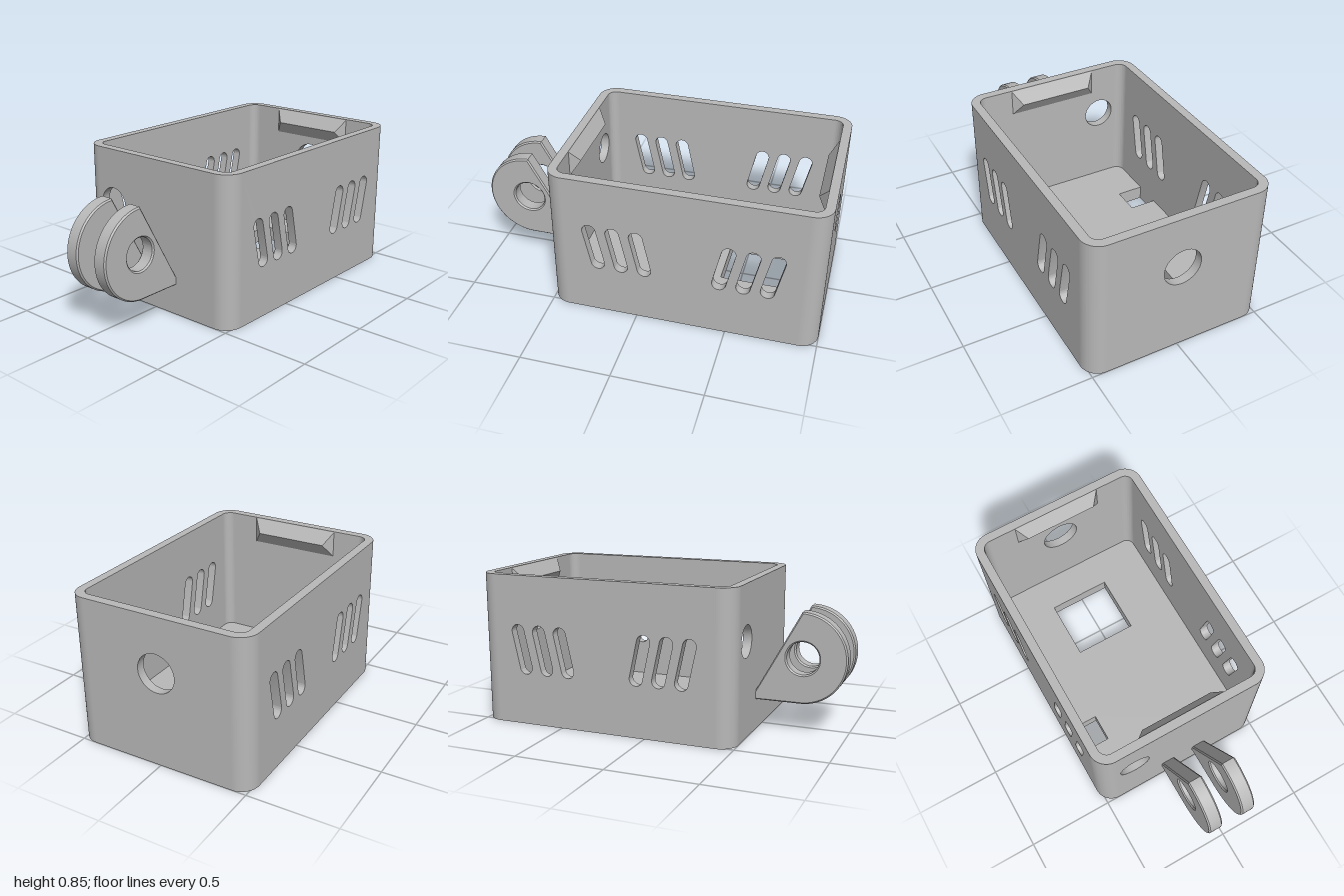
import * as THREE from 'three';
import { toCreasedNormals } from 'three/addons/utils/BufferGeometryUtils.js';
import { ConvexGeometry } from 'three/addons/geometries/ConvexGeometry.js';

const X0 = -0.5, X1 = 1.0, Z = 0.52, H = 0.845; // outer case limits
const WALL = 0.05, R = 0.1, FLOOR = 0.085;

export function createModel() {
  const model = new THREE.Group();
  model.name = 'cameraCase';
  const grey = new THREE.MeshStandardMaterial({ color: 0xb8b8b8 });
  grey.name = 'grey plastic';

  const add = (name, geometry, parent = model) => {
    const mesh = new THREE.Mesh(geometry, grey);
    mesh.name = name;
    parent.add(mesh);
    return mesh;
  };
  const extrude = (shape, depth, options = {}) => toCreasedNormals(
    new THREE.ExtrudeGeometry(shape, { depth, bevelEnabled: false, curveSegments: 16, ...options }), 0.6);
  const rect = (Type, x0, y0, x1, y1) => {
    const p = new Type();
    p.moveTo(x0, y0).lineTo(x1, y0).lineTo(x1, y1).lineTo(x0, y1).closePath();
    return p;
  };
  const circle = (x, y, r) => new THREE.Path().absarc(x, y, r, 0, Math.PI * 2);
  const slot = (xTop, xBottom) => {
    const yTop = 0.532, yBottom = 0.328, r = 0.038;
    const a = Math.atan2(yTop - yBottom, xTop - xBottom);
    const p = new THREE.Path();
    p.absarc(xTop, yTop, r, a - Math.PI / 2, a + Math.PI / 2);
    p.absarc(xBottom, yBottom, r, a + Math.PI / 2, a + Math.PI * 1.5);
    return p.closePath();
  };

  // Front and back walls with two fans of slanted vent slots
  const longWall = rect(THREE.Shape, X0 + R, 0, X1 - R, H);
  for (let i = 0; i < 3; i++) {
    longWall.holes.push(slot(-0.26 + i * 0.13, -0.215 + i * 0.13));
    longWall.holes.push(slot(0.5 + i * 0.13, 0.455 + i * 0.13));
  }
  const longGeometry = extrude(longWall, WALL);
  add('frontWall', longGeometry).position.z = Z - WALL;
  add('backWall', longGeometry).position.z = -Z;

  // End walls, each with a round port
  const endWall = (name, x, portZ, portR) => {
    const shape = rect(THREE.Shape, -Z + R, 0, Z - R, H);
    shape.holes.push(circle(portZ, 0.535, portR));
    add(name, extrude(shape, WALL).rotateY(-Math.PI / 2)).position.x = x;
  };
  endWall('leftWall', X1, 0, 0.108);
  endWall('rightWall', X0 + WALL, -0.31, 0.09);

  // Rounded vertical corners
  const quarter = new THREE.Shape();
  quarter.absarc(0, 0, R, 0, Math.PI / 2);
  quarter.absarc(0, 0, R - WALL, Math.PI / 2, 0, true);
  quarter.closePath();
  const cornerGeometry = extrude(quarter, H).rotateX(-Math.PI / 2);
  const corners = [[X1 - R, -Z + R], [X0 + R, -Z + R], [X0 + R, Z - R], [X1 - R, Z - R]];
  corners.forEach(([x, z], i) => {
    const corner = add('corner', cornerGeometry);
    corner.position.set(x, 0, z);
    corner.rotation.y = i * Math.PI / 2;
  });

  // Floor with two square openings; shape y is -z
  const floor = new THREE.Shape();
  const r = R - WALL + 0.002;
  corners.forEach(([x, z], i) =>
    floor.absarc(x, -z, r, i * Math.PI / 2, (i + 1) * Math.PI / 2));
  floor.closePath();
  floor.holes.push(rect(THREE.Path, 0.4, -0.17, 0.75, 0.195));
  floor.holes.push(rect(THREE.Path, -0.175, 0.315, -0.015, 0.47));
  add('floor', extrude(floor, FLOOR).rotateX(-Math.PI / 2));

  // Tapered snap ridges inside the end walls, near the rim
  for (const [name, x, s] of [['rightSnapRidge', X0 + WALL, 1], ['leftSnapRidge', X1 - WALL, -1]]) {
    const points = [];
    for (const side of [-1, 1]) {
      points.push(new THREE.Vector3(x, 0.84, side * 0.26));
      points.push(new THREE.Vector3(x, 0.69, side * 0.26));
      points.push(new THREE.Vector3(x + s * 0.05, 0.765, side * 0.21));
    }
    add(name, new ConvexGeometry(points));
  }

  // Pair of round-ended mounting lugs with softened edges
  const lug = new THREE.Shape();
  const cx = -0.748, cy = 0.425, lugR = 0.252;
  lug.moveTo(-0.47, cy + lugR);
  lug.absarc(cx, cy, lugR, Math.PI / 2, Math.PI * 1.5);
  lug.lineTo(-0.47, cy - lugR).closePath();
  lug.holes.push(circle(-0.757, cy, 0.09));
  const bevel = 0.008;
  const lugGeometry = extrude(lug, 0.083 - 2 * bevel, {
    bevelEnabled: true, bevelThickness: bevel, bevelSize: bevel, bevelOffset: -bevel,
    bevelSegments: 1, curveSegments: 32,
  }).translate(0, 0, bevel);
  const mount = new THREE.Group();
  mount.name = 'mount';
  model.add(mount);
  add('backLug', lugGeometry, mount).position.z = -0.132;
  add('frontLug', lugGeometry, mount).position.z = 0.072;

  return model;
}
